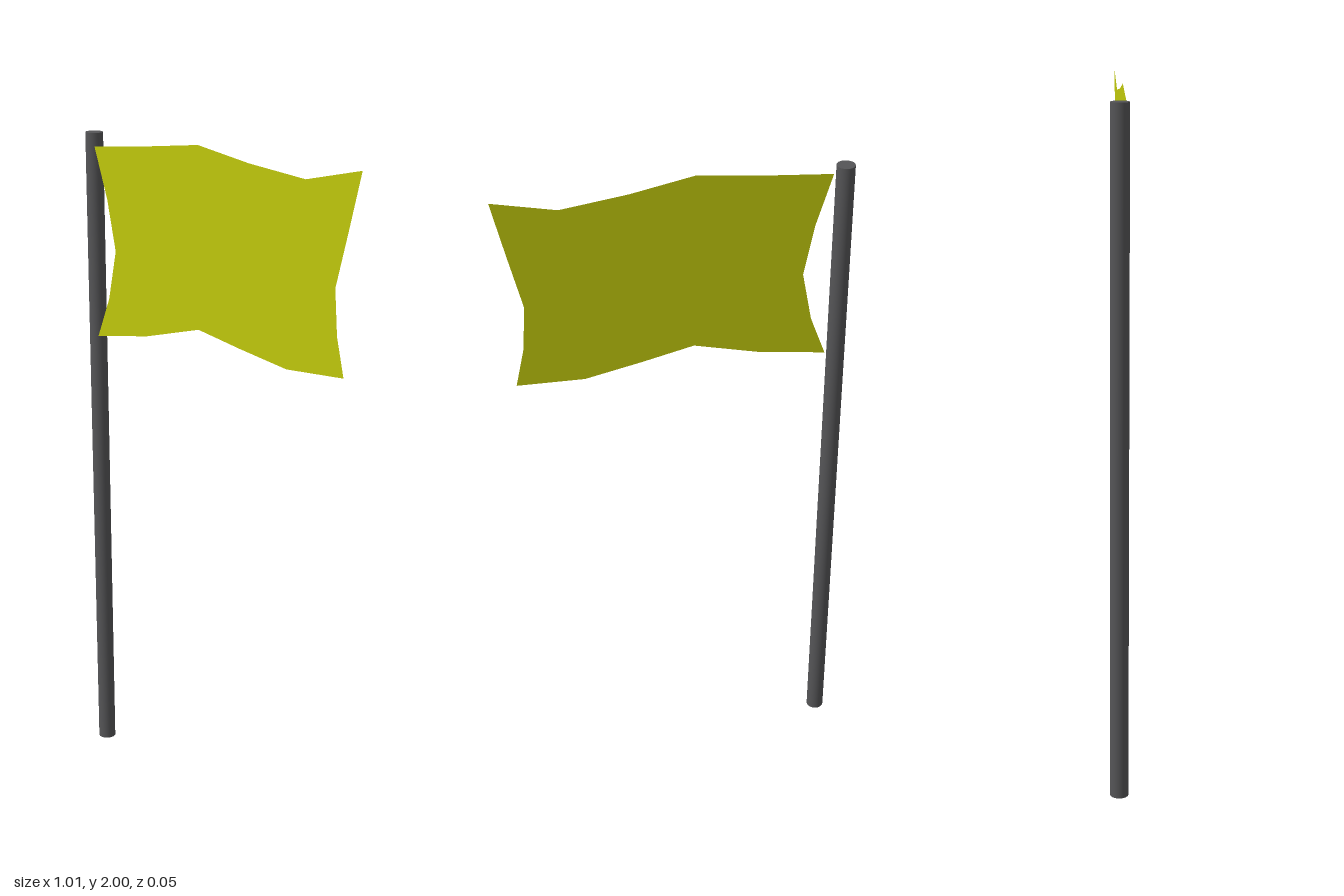
import * as THREE from 'three';

const POLE_RADIUS = 0.0265;
const POLE_HEIGHT = 1.995;

// Wavy cloth outline, clockwise from the upper corner at the pole
const OUTLINE = [
  // top edge
  [-0.457, 1.957], [-0.262, 1.976], [-0.06, 2.0], [0.124, 1.967], [0.32, 1.944], [0.507, 1.987],
  // free edge
  [0.467, 1.82], [0.426, 1.655], [0.435, 1.52], [0.46, 1.404],
  // bottom edge
  [0.262, 1.396], [0.092, 1.428], [-0.06, 1.46], [-0.262, 1.407], [-0.457, 1.377],
  // edge beside the pole
  [-0.41, 1.5], [-0.38, 1.65], [-0.41, 1.804],
];

function createPole() {
  const pole = new THREE.Mesh(
    new THREE.CylinderGeometry(POLE_RADIUS, POLE_RADIUS, POLE_HEIGHT, 32),
    new THREE.MeshStandardMaterial({ color: 0x555557 })
  );
  pole.name = 'pole';
  pole.position.set(-0.481, POLE_HEIGHT / 2, 0);
  return pole;
}

function createFlag() {
  const shape = new THREE.Shape(OUTLINE.map(([x, y]) => new THREE.Vector2(x, y)));
  const flag = new THREE.Mesh(
    new THREE.ShapeGeometry(shape),
    new THREE.MeshStandardMaterial({ color: 0xc3cb0c, side: THREE.DoubleSide })
  );
  flag.name = 'flag';
  // The flat cloth lies level with the front of the pole
  flag.position.z = POLE_RADIUS;
  return flag;
}

export function createModel() {
  const model = new THREE.Group();
  model.name = 'flagOnPole';
  model.add(createPole(), createFlag());
  return model;
}
